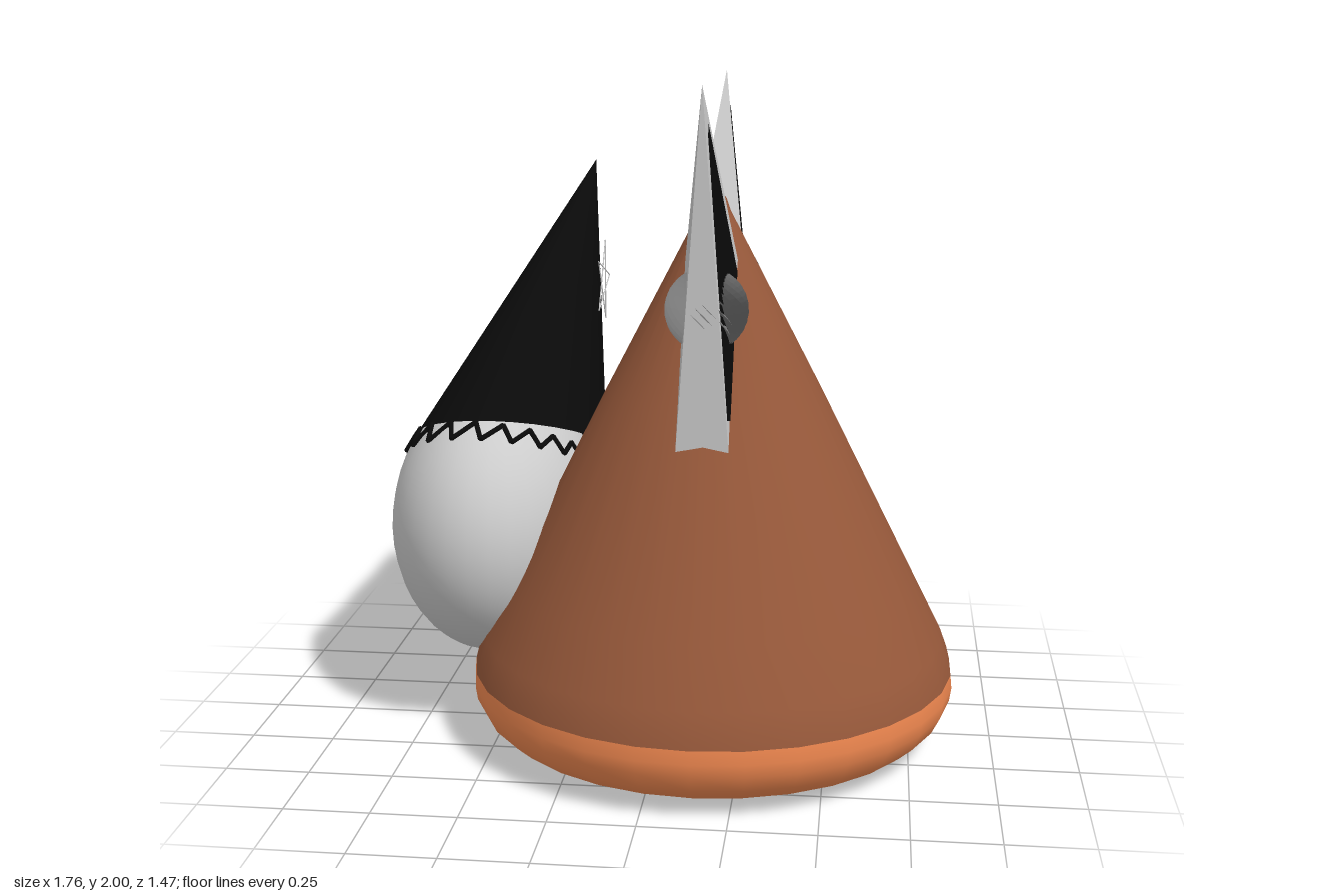
import * as THREE from 'three';

const V = (x, y, z) => new THREE.Vector3(x, y, z);
const mat = (color, extra = {}) => new THREE.MeshStandardMaterial({ color, ...extra });

export function createModel() {
  const model = new THREE.Group();
  const grey = mat(0xcccccc);
  const greyFlat = mat(0xcccccc, { flatShading: true, side: THREE.DoubleSide });
  const fur = mat(0x777777, { flatShading: true });
  const black = mat(0x0a0a0a, { side: THREE.DoubleSide });
  const blackFlat = mat(0x0a0a0a, { flatShading: true, side: THREE.DoubleSide });

  const add = (name, geometry, material, parent = model) => {
    const mesh = new THREE.Mesh(geometry, material);
    mesh.name = name;
    parent.add(mesh);
    return mesh;
  };

  // thin straight rod between two points
  const rod = (name, a, b, r, material, parent) => {
    const d = b.clone().sub(a);
    const m = add(name, new THREE.CylinderGeometry(r, r, d.length(), 5), material, parent);
    m.position.copy(a).add(b).multiplyScalar(0.5);
    m.quaternion.setFromUnitVectors(V(0, 1, 0), d.normalize());
  };

  // Conical body on a rounded base
  const lathe = pts => new THREE.LatheGeometry(pts.map(p => new THREE.Vector2(...p)), 30);
  const base = add('base', lathe([[0, 0], [0.04, 0.012], [0.53, 0.012], [0.6, 0.022], [0.66, 0.05],
    [0.705, 0.09], [0.73, 0.14], [0.736, 0.18], [0.732, 0.22]]), mat(0xf08850));
  const body = add('body', lathe([[0.732, 0.22], [0.722, 0.26], [0.7, 0.32], [0.62, 0.48], [0.32, 1.08],
    [0.045, 1.61], [0.033, 1.645], [0.018, 1.665], [0, 1.67]]), mat(0x96583a));
  base.position.x = body.position.x = 0.145;

  // Four-sided pyramid: apex, outer foot and inner foot as [y, z]; x range at the base
  const pyramid = (apex, outer, inner, x0, x1) => {
    const p = [apex, V(x0, ...outer), V(x1, ...outer), V(x1, ...inner), V(x0, ...inner)];
    const g = new THREE.BufferGeometry().setFromPoints(p);
    g.setIndex([0, 1, 2, 0, 2, 3, 0, 3, 4, 0, 4, 1, 1, 4, 3, 1, 3, 2]);
    const flat = g.toNonIndexed();
    flat.computeVertexNormals();
    return flat;
  };

  // Ball of short spikes: alternate vertices are pushed in and out
  const spikyBall = (outer, inner) => {
    const w = 48, h = 24;
    const g = new THREE.SphereGeometry(1, w, h);
    const pos = g.attributes.position, v = V(0, 0, 0);
    for (let i = 0; i < pos.count; i++) {
      const col = i % (w + 1), row = Math.floor(i / (w + 1));
      const pole = row === 0 || row === h;
      const r = pole || (col + row) % 2 === 0 ? outer : inner;
      v.fromBufferAttribute(pos, i).multiplyScalar(r);
      pos.setXYZ(i, v.x, v.y, v.z);
    }
    g.computeVertexNormals();
    return g;
  };

  // Ears with dark linings and fur tufts, mirrored across the body
  for (const s of [1, -1]) {
    const ear = new THREE.Group();
    ear.name = s > 0 ? 'frontEar' : 'backEar';
    ear.position.z = -0.013;
    model.add(ear);
    add('earShell', pyramid(V(0.142, 1.995, s * 0.415), [0.94, s * 0.38], [1.47, s * 0.095], 0.065, 0.22), greyFlat, ear);
    add('earLining', pyramid(V(0.157, 1.89, s * 0.383), [1.06, s * 0.37], [1.45, s * 0.15], 0.13, 0.222), blackFlat, ear);
    add('earTuft', spikyBall(0.12, 0.092), fur, ear).position.set(0.145, 1.36, s * 0.28);
  }

  // Tail: egg-shaped bulb
  const tail = new THREE.Group();
  tail.name = 'tail';
  model.add(tail);
  const centre = V(-0.56, 0.6, -0.195), radii = V(0.325, 0.42, 0.48);
  const bulb = add('tailBulb', new THREE.SphereGeometry(1, 32, 24), grey, tail);
  bulb.position.copy(centre);
  bulb.scale.copy(radii);

  // Leaning pointed tail tip
  const rim = V(-0.53, 0.815, -0.305), apex = V(-0.305, 1.69, -0.655);
  const axis = apex.clone().sub(rim);
  const u = V(0.3, 0, 0), w = V(0, 0.155, 0.368);
  const tip = new THREE.ConeGeometry(1, 1, 28, 1, true).translate(0, 0.5, 0);
  tip.applyMatrix4(new THREE.Matrix4().makeBasis(u, axis, w).setPosition(rim));
  add('tailTip', tip, black, tail);

  // Zigzag border lying on the bulb below the tip
  const teeth = 22, zigzag = [];
  for (let i = 0; i <= teeth * 2; i++) {
    const a = (i / (teeth * 2)) * Math.PI * 2;
    const p = rim.clone().addScaledVector(u, Math.cos(a)).addScaledVector(w, Math.sin(a));
    if (i % 2) p.addScaledVector(axis, -0.08);
    p.sub(centre).divide(radii).normalize().multiplyScalar(1.012).multiply(radii).add(centre);
    zigzag.push(p);
  }
  for (let i = 0; i < teeth * 2; i++) rod('zigzag', zigzag[i], zigzag[i + 1], 0.008, black, tail);

  // Thin five-pointed star on the side of the tip
  const star = [0, 1, 2, 3, 4].map(i => {
    const a = i * Math.PI * 0.4;
    return V(-0.262, 1.31 + 0.135 * Math.sin(a), -0.512 - 0.135 * Math.cos(a));
  });
  star.forEach((p, i) => rod('starLine', p, star[(i + 2) % 5], 0.002, grey, tail));

  return model;
}
